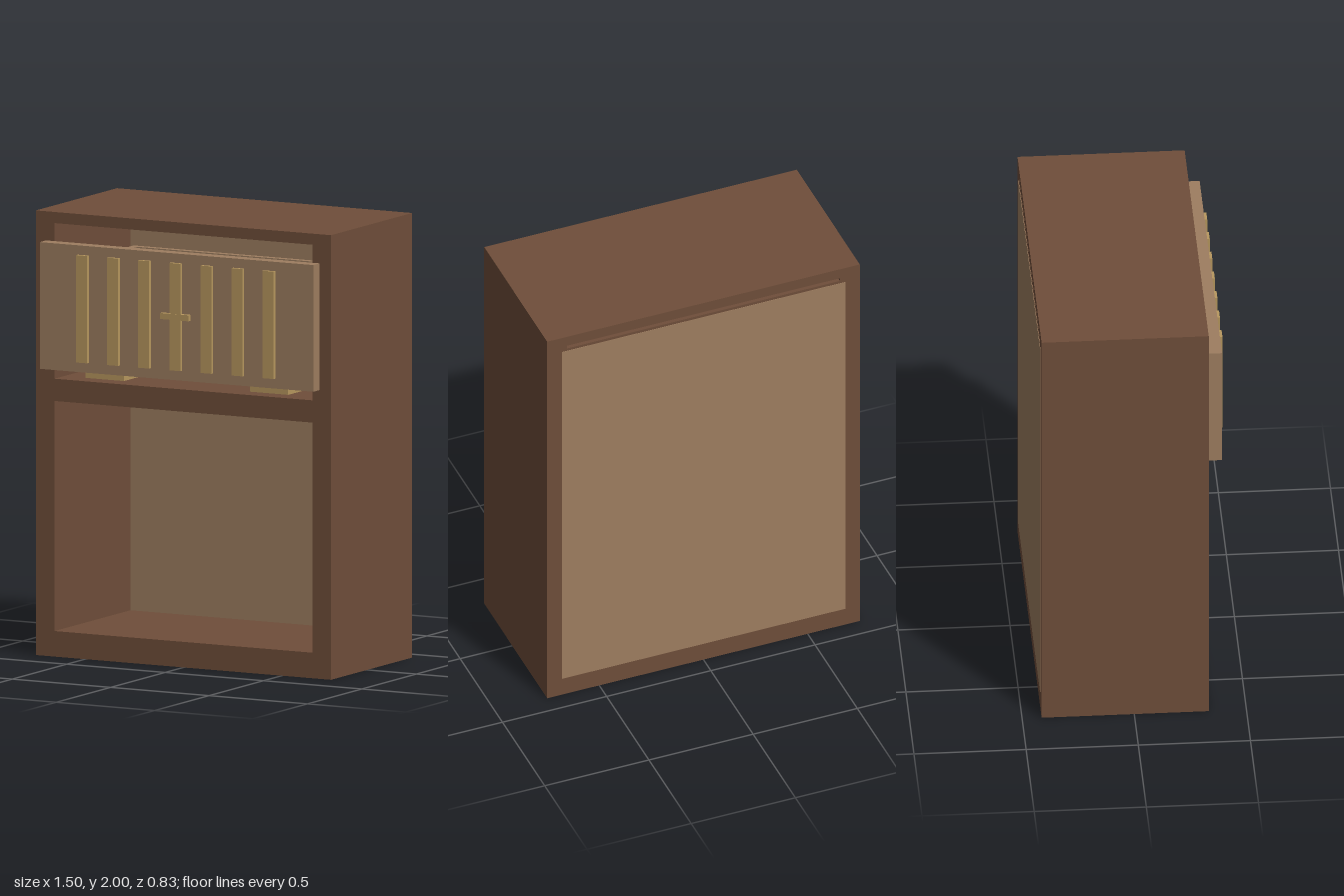
import * as THREE from 'three';

export function createModel() {
  const model = new THREE.Group();
  model.name = 'cabinet';

  const darkWood = new THREE.MeshStandardMaterial({ name: 'darkWood', color: 0x6f4e3a });
  const lightWood = new THREE.MeshStandardMaterial({ name: 'lightWood', color: 0x9e7e60 });
  const goldWood = new THREE.MeshStandardMaterial({ name: 'goldWood', color: 0xb8985f });

  // Box given by its limits on each axis
  function box(parent, name, material, [x0, x1], [y0, y1], [z0, z1]) {
    const mesh = new THREE.Mesh(new THREE.BoxGeometry(x1 - x0, y1 - y0, z1 - z0), material);
    mesh.position.set((x0 + x1) / 2, (y0 + y1) / 2, (z0 + z1) / 2);
    mesh.name = name;
    parent.add(mesh);
    return mesh;
  }

  // Carcass
  const carcass = new THREE.Group();
  carcass.name = 'carcass';
  model.add(carcass);
  const depth = [-0.413, 0.332];
  const inner = [-0.655, 0.655];
  box(carcass, 'rightWall', darkWood, [-0.75, -0.655], [0, 2], depth);
  box(carcass, 'leftWall', darkWood, [0.655, 0.75], [0, 2], depth);
  box(carcass, 'bottomBoard', darkWood, inner, [0, 0.115], depth);
  box(carcass, 'middleShelf', darkWood, inner, [1.15, 1.25], [-0.365, 0.332]);
  box(carcass, 'topBoard', darkWood, inner, [1.95, 2], depth);
  box(carcass, 'backRail', darkWood, inner, [1.9, 1.935], [-0.413, -0.385]);
  box(carcass, 'backPanel', lightWood, [-0.68, 0.68], [0.09, 1.922], [-0.415, -0.365]);

  // Drawer: open-topped box behind a wider front
  const drawer = new THREE.Group();
  drawer.name = 'drawer';
  model.add(drawer);
  box(drawer, 'drawerFront', lightWood, [-0.695, 0.695], [1.3, 1.87], [0.337, 0.395]);
  box(drawer, 'drawerBottom', lightWood, [-0.6, 0.6], [1.3, 1.34], [-0.32, 0.337]);
  box(drawer, 'drawerBack', lightWood, [-0.63, 0.63], [1.3, 1.76], [-0.35, -0.32]);
  for (const [side, s] of [['left', 1], ['right', -1]]) {
    const xs = [0.6 * s, 0.63 * s].sort((a, b) => a - b);
    box(drawer, side + 'DrawerSide', lightWood, xs, [1.3, 1.76], [-0.32, 0.337]);
    // Runner under the drawer
    const rx = [0.32 * s, 0.515 * s].sort((a, b) => a - b);
    box(drawer, side + 'Runner', goldWood, rx, [1.26, 1.3], [-0.32, 0.3]);
  }

  // Vertical slats and the small crossbar handle
  for (let i = -3; i <= 3; i++) {
    const x = i * 0.158;
    box(drawer, 'slat', goldWood, [x - 0.028, x + 0.028], [1.345, 1.828], [0.395, 0.411]);
  }
  box(drawer, 'handle', goldWood, [-0.072, 0.072], [1.573, 1.6], [0.395, 0.415]);

  return model;
}
